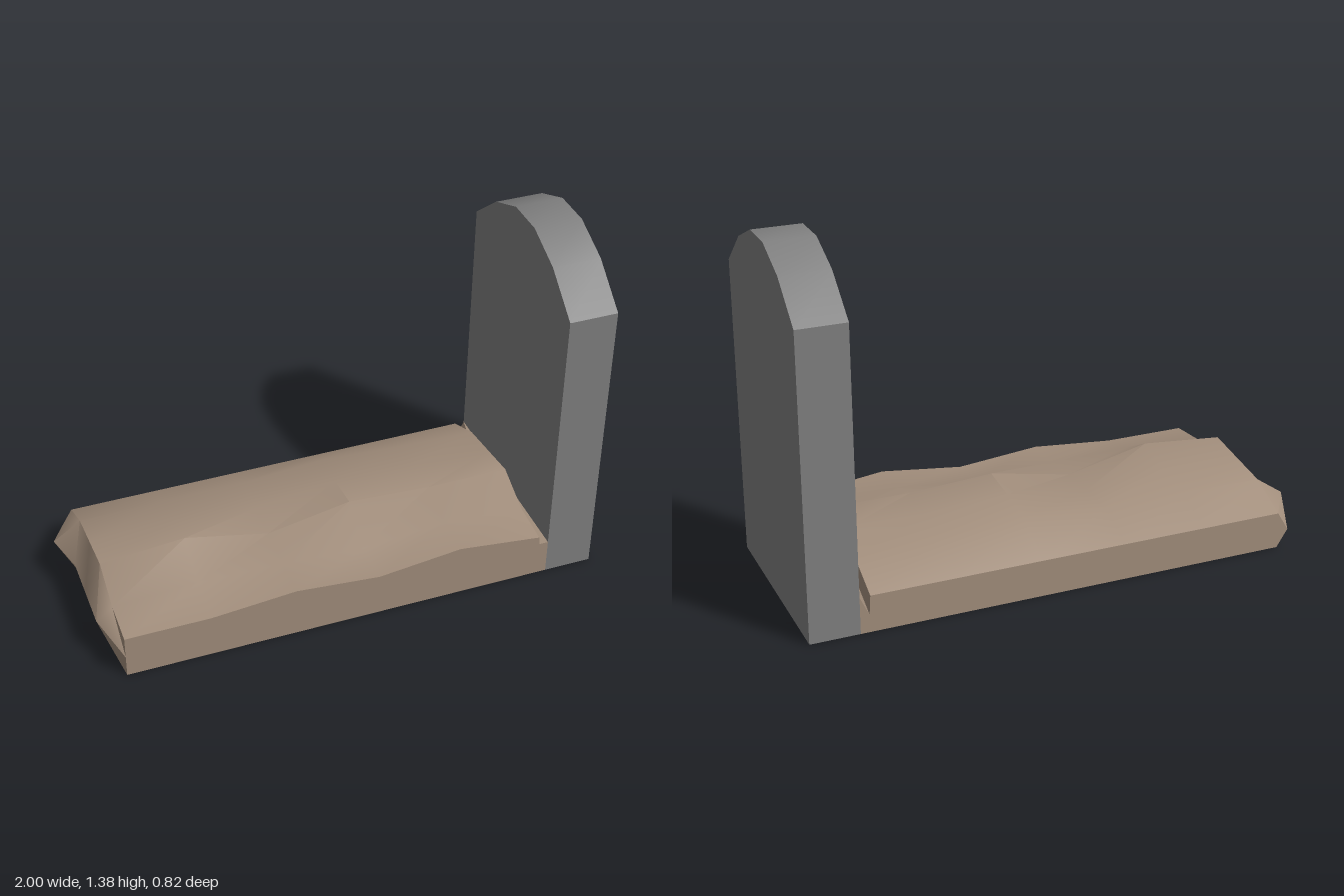
import * as THREE from 'three';
import { toCreasedNormals } from 'three/addons/utils/BufferGeometryUtils.js';

const Z = [-0.41, -0.245, -0.08, 0.08, 0.245, 0.41];

// Upright slab with a faceted arch, extruded along x
function makeHeadstone() {
  const arch = [1.175, 1.31, 1.38, 1.38, 1.31, 1.175];
  const shape = new THREE.Shape([
    new THREE.Vector2(-0.41, 0),
    new THREE.Vector2(0.41, 0),
    ...Z.map((z, i) => new THREE.Vector2(-z, arch[i])),
  ]);
  const geo = new THREE.ExtrudeGeometry(shape, { depth: 0.19, bevelEnabled: false });
  geo.rotateY(Math.PI / 2).translate(0.81, 0, 0);
  const mesh = new THREE.Mesh(toCreasedNormals(geo, 0.6), new THREE.MeshStandardMaterial({ color: 0x808080 }));
  mesh.name = 'headstone';
  return mesh;
}

// Uneven earth mound: lengthwise outlines joined from back to front
function makeMound() {
  const heights = [
    [0.145, 0.145, 0.145, 0.145, 0.145, 0.145],
    [0.22, 0.225, 0.225, 0.25, 0.23, 0.22],
    [0.245, 0.26, 0.225, 0.27, 0.25, 0.245],
    [0.27, 0.3, 0.225, 0.29, 0.27, 0.27],
    [0.195, 0.215, 0.21, 0.19, 0.22, 0.195],
    [0.18, 0.18, 0.21, 0.18, 0.22, 0.18],
  ];
  // Bulge of the foot end: x and y of its middle row
  const foot = [[-0.935, 0.07], [-1, 0.145], [-0.955, 0.145], [-0.955, 0.145], [-0.955, 0.145], [-0.89, 0.09]];
  const rings = heights.map((row, j) => [
    [-0.89, 0],
    foot[j],
    ...row.map((h, i) => [-0.89 + i * 0.332, h]),
    [0.775, j === 0 ? 0.07 : 0.145], // gap before the headstone
    [0.81, 0.145],
    [0.81, 0],
  ]);
  const n = rings[0].length;
  const positions = rings.flatMap((ring, j) => ring.flatMap(([x, y]) => [x, y, Z[j]]));
  const index = [];
  for (let j = 0; j < rings.length - 1; j++) {
    for (let i = 0; i < n; i++) {
      const a = j * n + i, b = j * n + (i + 1) % n;
      index.push(a, a + n, b, a + n, b + n, b);
    }
  }
  // Flat long sides
  for (const j of [0, rings.length - 1]) {
    const outline = rings[j].map(([x, y]) => new THREE.Vector2(x, y)).reverse();
    for (const tri of THREE.ShapeUtils.triangulateShape(outline, [])) {
      const [a, b, c] = tri.map((k) => j * n + n - 1 - k);
      index.push(...(j === 0 ? [a, c, b] : [a, b, c]));
    }
  }
  const geo = new THREE.BufferGeometry();
  geo.setAttribute('position', new THREE.Float32BufferAttribute(positions, 3));
  geo.setIndex(index);
  const mesh = new THREE.Mesh(toCreasedNormals(geo, 0.7), new THREE.MeshStandardMaterial({ color: 0xa28e7c }));
  mesh.name = 'earthMound';
  return mesh;
}

export function createModel() {
  const group = new THREE.Group();
  group.name = 'grave';
  group.add(makeHeadstone(), makeMound());
  return group;
}
